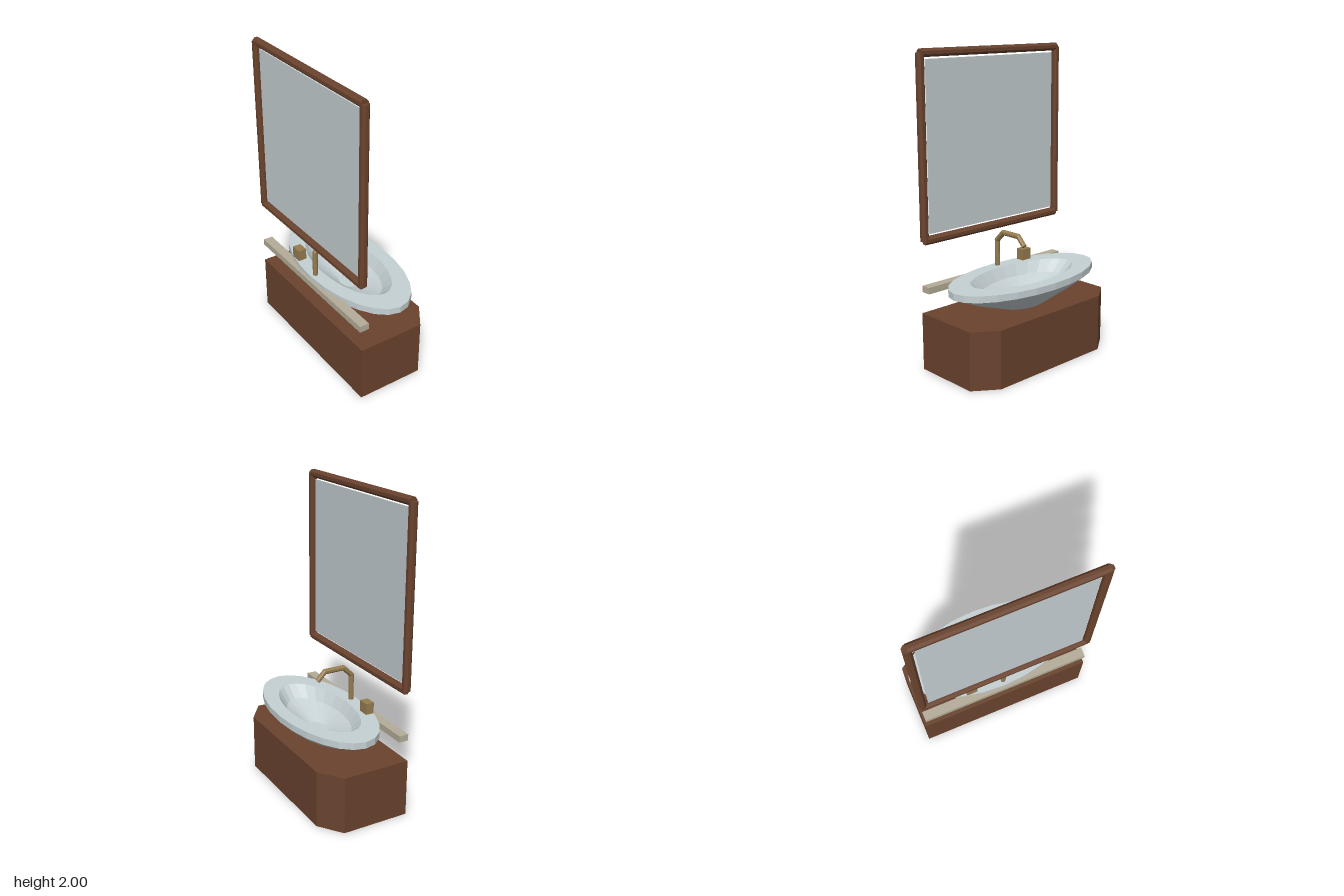
import * as THREE from 'three';

const flat = (name, color) => {
  const m = new THREE.MeshStandardMaterial({ color, flatShading: true });
  m.name = name;
  return m;
};

// Closed skin over a list of point rings, with a flat cap at each end
function loft(rings) {
  const n = rings[0].length;
  const pos = rings.flat().flatMap((p) => [p.x, p.y, p.z]);
  const idx = [];
  for (let i = 0; i < rings.length - 1; i++) {
    for (let j = 0; j < n; j++) {
      const k = (j + 1) % n;
      const a = i * n + j, b = i * n + k, c = a + n, d = b + n;
      idx.push(a, c, b, b, c, d);
    }
  }
  const last = (rings.length - 1) * n;
  for (let j = 1; j < n - 1; j++) {
    idx.push(0, j, j + 1, last, last + j + 1, last + j);
  }
  const g = new THREE.BufferGeometry();
  g.setAttribute('position', new THREE.Float32BufferAttribute(pos, 3));
  g.setIndex(idx);
  const out = g.toNonIndexed();
  out.computeVertexNormals();
  return out;
}

// Mitred tube along a path in the xy plane
function mitredTube(points, radius, sides) {
  const path = points.map(([x, y]) => new THREE.Vector2(x, y));
  const dir = path.slice(1).map((p, i) => p.clone().sub(path[i]).normalize());
  return loft(path.map((p, i) => {
    const before = dir[Math.max(i - 1, 0)];
    const after = dir[Math.min(i, dir.length - 1)];
    const t = before.clone().add(after).normalize();
    const stretch = radius / t.dot(after);
    return Array.from({ length: sides }, (_, j) => {
      const a = ((j + 0.5) / sides) * Math.PI * 2;
      const w = Math.cos(a) * stretch;
      return new THREE.Vector3(p.x + t.y * w, p.y - t.x * w, Math.sin(a) * radius);
    });
  }));
}

export function createModel() {
  const group = new THREE.Group();
  const wood = flat('wood', 0x6a432e);
  const ceramic = flat('ceramic', 0xc6d1d4);
  const glass = flat('mirrorGlass', 0xc5cfd2);
  const brass = flat('brass', 0x967c4f);
  const stone = flat('stone', 0xb5ad99);

  const add = (name, geometry, material, x = 0, y = 0, z = 0) => {
    const mesh = new THREE.Mesh(geometry, material);
    mesh.name = name;
    mesh.position.set(x, y, z);
    group.add(mesh);
    return mesh;
  };

  // Cabinet with two cut front corners
  const plan = new THREE.Shape([
    [-0.285, -0.592], [0.163, -0.592], [0.272, -0.44],
    [0.272, 0.44], [0.163, 0.592], [-0.285, 0.592],
  ].map(([x, y]) => new THREE.Vector2(x, y)));
  const cabinet = new THREE.ExtrudeGeometry(plan, { depth: 0.375, bevelEnabled: false });
  cabinet.rotateX(-Math.PI / 2);
  add('cabinet', cabinet, wood);

  // Oval basin: [x radius, z radius, height], up the outside and down the inside
  const profile = [
    [0.105, 0.17, 0.374], [0.215, 0.43, 0.465], [0.285, 0.58, 0.53], [0.285, 0.58, 0.573],
    [0.196, 0.417, 0.573], [0.155, 0.33, 0.5], [0.05, 0.077, 0.425],
  ];
  const sides = 24;
  add('basin', loft(profile.map(([rx, rz, y]) =>
    Array.from({ length: sides }, (_, j) => {
      const a = (j / sides) * Math.PI * 2;
      return new THREE.Vector3(Math.cos(a) * rx, y, Math.sin(a) * rz);
    }))), ceramic, 0.01);

  // Ledge behind the basin
  add('ledge', new THREE.BoxGeometry(0.064, 0.042, 1.16), stone, -0.259, 0.53, 0);

  // Tap: bent spout and square handle
  add('spout', mitredTube([
    [-0.236, 0.55], [-0.236, 0.745], [-0.175, 0.806], [-0.036, 0.806], [0.018, 0.75],
  ], 0.0175, 8), brass);
  add('tapHandle', new THREE.BoxGeometry(0.056, 0.075, 0.074), brass, -0.217, 0.61, -0.225);

  // Mirror frame: four octagonal rails around a thin pane
  const rail = (length) =>
    new THREE.CylinderGeometry(0.027, 0.027, length, 8).rotateY(Math.PI / 8);
  const frameX = -0.27, low = 0.84, high = 1.975, half = 0.57;
  for (const y of [low, high]) {
    add('frameRail', rail(half * 2).rotateX(Math.PI / 2), wood, frameX, y, 0);
  }
  for (const z of [-half, half]) {
    add('frameStile', rail(high - low), wood, frameX, (low + high) / 2, z);
  }
  add('mirrorPane', new THREE.BoxGeometry(0.008, 1.06, 1.062), glass, frameX, 1.408, 0);

  return group;
}
